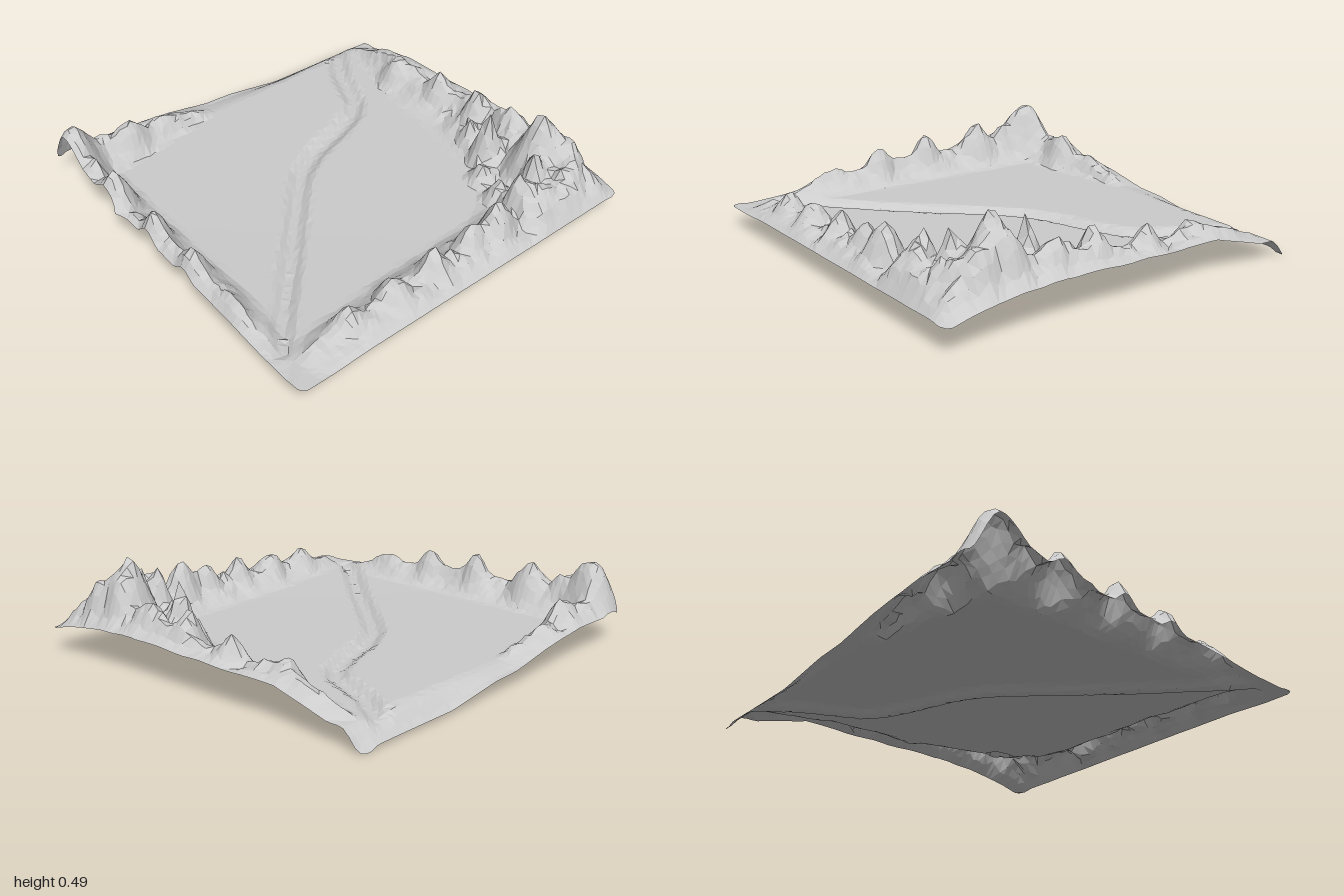
import * as THREE from 'three';

const { clamp, lerp, smoothstep } = THREE.MathUtils;

// Piecewise-linear lookup: points are [position, value] pairs
function table(points, t) {
  if (t <= points[0][0]) return points[0][1];
  for (let i = 1; i < points.length; i++) {
    const [a, va] = points[i - 1], [b, vb] = points[i];
    if (t <= b) return lerp(va, vb, (t - a) / (b - a));
  }
  return points[points.length - 1][1];
}

// Repeatable noise
function hash(i, j) {
  const s = Math.sin(i * 127.1 + j * 311.7) * 43758.5453;
  return s - Math.floor(s);
}
function noise(x, z) {
  const i = Math.floor(x), j = Math.floor(z), u = x - i, v = z - j;
  return lerp(lerp(hash(i, j), hash(i + 1, j), u), lerp(hash(i, j + 1), hash(i + 1, j + 1), u), v);
}

// Ridges along the four sides: crest height, edge height, crest distance and foot distance from the edge
const south = {
  crest: [[-0.9, 0.1], [-0.78, 0.16], [-0.7, 0.2], [-0.6, 0.21], [-0.45, 0.19], [-0.35, 0.22], [-0.17, 0.19],
    [-0.1, 0.23], [-0.03, 0.19], [0.1, 0.24], [0.2, 0.22], [0.3, 0.26], [0.4, 0.24], [0.5, 0.28], [0.62, 0.29],
    [0.75, 0.32], [0.88, 0.26], [0.98, 0.13]],
  edge: [[-1, 0.1], [-0.6, 0.12], [0.9, 0.13], [1, 0.11]],
  top: 0.15, foot: [[-0.8, 0.25], [-0.3, 0.32], [0.3, 0.34], [0.5, 0.42], [1, 0.4]],
};
const east = {
  crest: [[-0.96, 0], [-0.85, 0.1], [-0.7, 0.17], [-0.5, 0.22], [-0.3, 0.21], [-0.15, 0.23], [0, 0.21], [0.14, 0.25],
    [0.25, 0.24], [0.37, 0.29], [0.6, 0.31], [0.75, 0.3], [0.87, 0.25], [0.98, 0.13]],
  edge: [[-0.96, 0], [-0.9, 0.04], [-0.8, 0.09], [-0.5, 0.17], [0.2, 0.19], [0.6, 0.18], [0.8, 0.15], [1, 0.11]],
  top: 0.1, foot: [[-0.8, 0.15], [-0.4, 0.27], [0, 0.32], [0.3, 0.42], [0.6, 0.52], [1, 0.4]],
};
const west = {
  crest: [[-0.98, 0.1], [-0.9, 0.27], [-0.8, 0.31], [-0.6, 0.23], [-0.5, 0.27], [-0.38, 0.23], [-0.25, 0.21],
    [-0.15, 0.25], [0, 0.21], [0.15, 0.25], [0.3, 0.21], [0.4, 0.22], [0.6, 0.16], [0.75, 0.11], [1, 0.1]],
  edge: [[-1, 0.1], [-0.92, 0.19], [-0.85, 0.29], [-0.7, 0.24], [-0.4, 0.19], [0.3, 0.15], [0.7, 0.11], [1, 0.1]],
  top: 0.06, foot: [[-0.9, 0.22], [0.4, 0.19], [0.8, 0.15]],
};
const north = {
  crest: [[-0.97, 0.16], [-0.9, 0.28], [-0.8, 0.25], [-0.7, 0.23], [-0.6, 0.24], [-0.45, 0.19], [-0.3, 0.18],
    [-0.2, 0.15], [-0.08, 0.09]],
  edge: [[-0.98, 0.1], [-0.85, 0.15], [-0.6, 0.15], [-0.3, 0.12], [-0.1, 0.08]],
  top: 0.11, foot: [[-0.9, 0.26], [-0.5, 0.21], [-0.1, 0.12]],
};

// Single pinnacles: x, z, height, radius
const peaks = [
  [0.79, 0.62, 0.49, 0.17], [-0.92, -0.85, 0.385, 0.17], [0.65, 0.72, 0.4, 0.1], [0.7, 0.37, 0.4, 0.1],
  [0.51, 0.76, 0.36, 0.09], [0.53, 0.62, 0.23, 0.09], [0.58, 0.46, 0.21, 0.08], [0.3, 0.82, 0.34, 0.1],
  [0.12, 0.82, 0.3, 0.08], [-0.1, 0.82, 0.3, 0.08], [-0.35, 0.82, 0.25, 0.09], [-0.6, 0.83, 0.25, 0.1],
  [0.85, 0.14, 0.36, 0.09], [0.74, 0.22, 0.26, 0.08], [0.88, -0.15, 0.3, 0.1], [-0.93, -0.15, 0.31, 0.09],
  [-0.92, -0.5, 0.33, 0.12], [0.84, -0.45, 0.25, 0.11], [-0.92, 0.14, 0.29, 0.09], [0.86, 0.75, 0.37, 0.11],
  [-0.6, -0.87, 0.27, 0.11],
];

// Course of the winding channel
const channel = [[-1, 0.86], [-0.78, 0.6], [-0.5, 0.31], [-0.2, -0.02], [-0.06, -0.16], [0.1, -0.25],
  [0.32, -0.32], [0.46, -0.38], [0.55, -0.46], [0.66, -0.71], [0.79, -0.89]];

function channelDistance(x, z) {
  let best = 9;
  for (let i = 1; i < channel.length; i++) {
    const [ax, az] = channel[i - 1], dx = channel[i][0] - ax, dz = channel[i][1] - az;
    const t = clamp(((x - ax) * dx + (z - az) * dz) / (dx * dx + dz * dz), 0, 1);
    best = Math.min(best, Math.hypot(x - ax - t * dx, z - az - t * dz));
  }
  return best;
}

function ridgeHeight(side, along, d, base) {
  const foot = table(side.foot, along), edge = table(side.edge, along), crest = table(side.crest, along);
  if (d < side.top) return edge + (crest - edge) * Math.pow(Math.max(d, 0) / side.top, 0.85);
  return base + (crest - base) * Math.pow(clamp(1 - (d - side.top) / (foot - side.top), 0, 1), 1.5);
}

function height(x, z) {
  // Valley floor, falling away at the open north-east rim
  let base = 0.096 + 0.014 * smoothstep(-x + z, 0.4, 1.9);
  const drop = table([[-0.2, 0.015], [0.1, 0.03], [0.4, 0.076], [0.88, 0.08], [0.95, 0.11]], x);
  base -= drop * Math.pow(clamp((-z - 0.86) / 0.1, 0, 1), 1.4);
  const dip = 0.03 * (1 - smoothstep(channelDistance(x, z), 0.012, 0.07)) * smoothstep(z, -0.95, -0.85);
  const floor = base - dip;
  let y = Math.max(floor, ridgeHeight(south, x, 0.98 - z, floor), ridgeHeight(east, z, 0.985 - x, floor),
    ridgeHeight(west, z, x + 0.975, floor));
  if (x < -0.08) y = Math.max(y, ridgeHeight(north, x, z + 0.98, floor));
  // Craggy lumps on the slopes, fading toward the borders
  const inner = clamp((0.99 - Math.max(Math.abs(x), Math.abs(z))) / 0.06, 0.15, 1);
  const lumps = 0.8 * (noise(x * 12 + 40, z * 12 + 40) - 0.5) + 0.35 * (noise(x * 29, z * 29) - 0.5);
  y += (y - floor) * lumps * inner;
  for (const [px, pz, h, r] of peaks) {
    const k = Math.min(1, 1.12 * (1 - Math.hypot(x - px, z - pz) / r));
    if (k > 0) y = Math.max(y, lerp(y, h, Math.pow(k, 1.35)));
  }
  return clamp(y, 0, 0.49);
}

export function createModel() {
  const group = new THREE.Group();
  const n = 62;
  const geometry = new THREE.PlaneGeometry(2, 2, n, n);
  geometry.rotateX(-Math.PI / 2);
  const pos = geometry.attributes.position;
  for (let i = 0; i < pos.count; i++) {
    let u = pos.getX(i), v = pos.getZ(i);
    // Uneven spacing inside the border
    if (Math.abs(u) < 0.99 && Math.abs(v) < 0.99) {
      u += (hash(i, 3) - 0.5) * 0.014;
      v += (hash(i, 8) - 0.5) * 0.014;
    }
    // Rounded corners
    const r = 0.04, cu = Math.abs(u) - (1 - r), cv = Math.abs(v) - (1 - r);
    if (cu > 0 && cv > 0) {
      const k = Math.max(cu, cv) / Math.hypot(cu, cv);
      u = Math.sign(u) * (1 - r + cu * k);
      v = Math.sign(v) * (1 - r + cv * k);
    }
    let x = u * 0.977 + 0.003;
    // The north border slants slightly inward toward the east
    const z = v * (v < 0 ? 0.987 - 0.022 * smoothstep(u, -0.4, 1) : 0.98);
    const y = height(x, z);
    // Slight bulges of the side borders
    if (u > 0.98) x += 0.018 * smoothstep(z, -0.6, 0.2);
    if (u < -0.98) x -= 0.025 * Math.max(0, 1 - Math.abs(z + 0.38) / 0.05);
    pos.setXYZ(i, x, y, z);
  }
  // Split each quad along its more level diagonal, so edges follow crests and banks
  const index = geometry.index;
  for (let q = 0; q < n * n; q++) {
    const o = q * 6, a = index.getX(o), b = index.getX(o + 1), d = index.getX(o + 2), c = index.getX(o + 4);
    const level = (i, j) => Math.abs(pos.getY(i) - pos.getY(j));
    if (level(a, c) < level(b, d)) [a, b, c, a, c, d].forEach((corner, k) => index.setX(o + k, corner));
  }
  geometry.computeVertexNormals();
  const terrain = new THREE.Mesh(geometry, new THREE.MeshStandardMaterial({
    color: 0xcccccc, flatShading: true, side: THREE.DoubleSide,
  }));
  terrain.name = 'valleyTerrain';
  group.add(terrain);
  return group;
}
